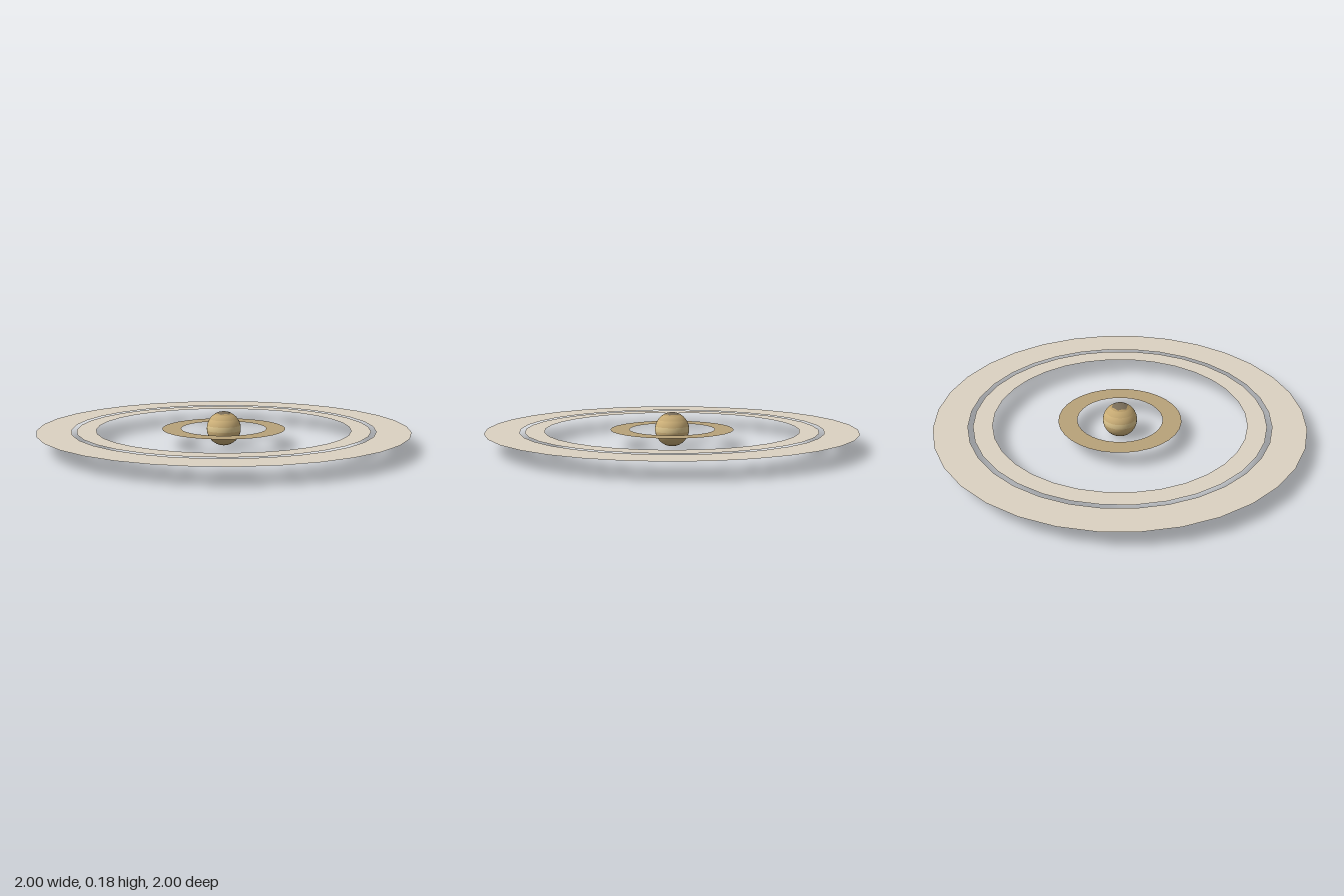
import * as THREE from 'three';

const R = 0.092; // planet radius, also the height of its centre

function addMesh(group, name, geometry, color, side = THREE.FrontSide) {
  const mesh = new THREE.Mesh(geometry, new THREE.MeshStandardMaterial({ color, side }));
  mesh.name = name;
  group.add(mesh);
  return mesh;
}

// Six-sided patch wrapped over the pole, just above the surface
function hexagonCap(radius) {
  const geometry = new THREE.RingGeometry(0.0005, 1, 48, 6);
  const p = geometry.attributes.position;
  const shell = R * 1.004;
  for (let i = 0; i < p.count; i++) {
    const angle = Math.atan2(p.getY(i), p.getX(i));
    const sector = Math.PI / 3;
    const local = ((angle + 2 * Math.PI) % sector) - sector / 2;
    const r = Math.hypot(p.getX(i), p.getY(i)) * radius * Math.cos(sector / 2) / Math.cos(local);
    const x = r * Math.cos(angle), z = -r * Math.sin(angle);
    p.setXYZ(i, x, Math.sqrt(shell * shell - r * r), z);
  }
  geometry.computeVertexNormals();
  return geometry;
}

export function createModel() {
  const model = new THREE.Group();
  model.name = 'ringedPlanet';

  // Planet: latitude bands from north to south, in degrees from the pole
  const planet = new THREE.Group();
  planet.name = 'planet';
  planet.position.y = R;
  model.add(planet);
  const bands = [
    ['northPolarBand', 0, 34, 0xb89c68],
    ['northTemperateBand', 34, 56, 0xc4a872],
    ['northTropicBand', 56, 79, 0xcfb27a],
    ['equatorBand', 79, 96, 0xe0c890],
    ['southTropicBand', 96, 118, 0xcfb27a],
    ['southTemperateBand', 118, 146, 0xc4a872],
    ['southPolarBand', 146, 180, 0xa88c5c],
  ];
  for (const [name, from, to, color] of bands) {
    const start = THREE.MathUtils.degToRad(from);
    const length = THREE.MathUtils.degToRad(to - from);
    addMesh(planet, name, new THREE.SphereGeometry(R, 32, 4, 0, Math.PI * 2, start, length), color);
  }
  const cap = addMesh(planet, 'polarHexagon', hexagonCap(0.046), 0x786c58);
  cap.rotation.y = Math.PI / 6;

  // Flat rings lying in the equatorial plane
  const rings = [
    ['innerRing', 0.23, 0.332, 0xb8a27a],
    ['middleRing', 0.684, 0.788, 0xdcd2c2],
    ['outerRing', 0.815, 1, 0xdcd2c2],
  ];
  for (const [name, inner, outer, color] of rings) {
    const geometry = new THREE.RingGeometry(inner, outer, 32).rotateX(-Math.PI / 2);
    addMesh(model, name, geometry, color, THREE.DoubleSide).position.y = R;
  }
  return model;
}
